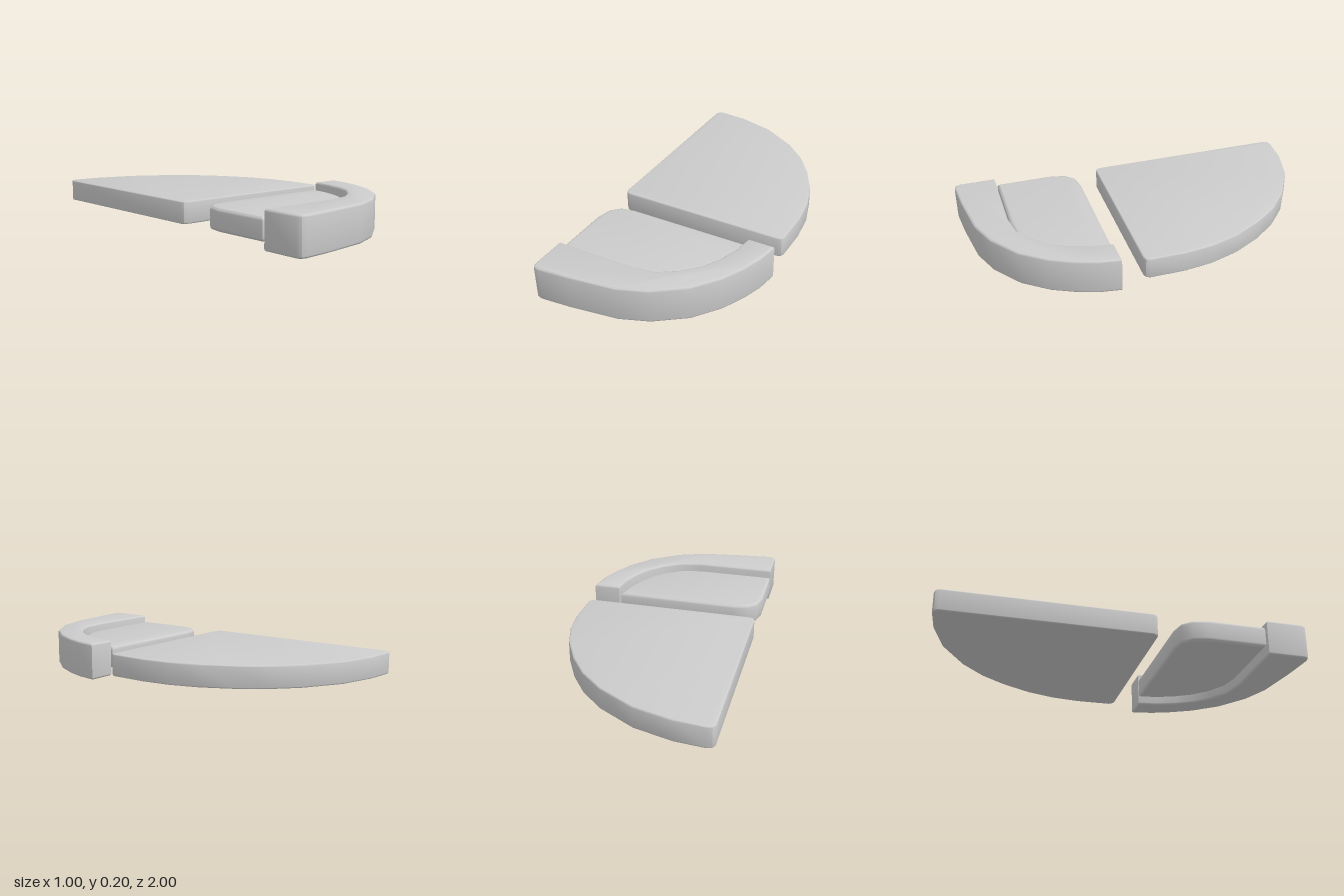
import * as THREE from 'three';
import { toCreasedNormals } from 'three/addons/utils/BufferGeometryUtils.js';

const material = new THREE.MeshStandardMaterial({ color: 0xcccccc });

// Upright slab from a plan outline of [x, z] points, with softened top and bottom edges
function slab(name, outline, bottom, top, bevel) {
  const points = outline.map(([x, z]) => new THREE.Vector2(x, -z));
  const geometry = new THREE.ExtrudeGeometry(new THREE.Shape(points), {
    depth: top - bottom - 2 * bevel,
    bevelThickness: bevel,
    bevelSize: bevel,
    bevelOffset: -bevel,
    bevelSegments: 3,
  });
  geometry.rotateX(-Math.PI / 2);
  geometry.translate(0, bottom + bevel, 0);
  const mesh = new THREE.Mesh(toCreasedNormals(geometry, 0.65), material);
  mesh.name = name;
  return mesh;
}

export function createModel() {
  const model = new THREE.Group();
  model.name = 'cornerSofaAndTable';

  // Quarter-round table top
  model.add(slab('tableTop', [
    [-0.5, 0.125], [-0.491, 0.146], [-0.47, 0.155], [0.46, 0.155], [0.482, 0.146], [0.491, 0.125],
    [0.492, -0.07], [0.472, -0.23], [0.422, -0.39], [0.338, -0.55], [0.24, -0.685], [0.11, -0.805],
    [-0.09, -0.925], [-0.3, -0.985], [-0.46, -1], [-0.488, -0.993], [-0.5, -0.97],
  ], 0.04, 0.16, 0.007));

  // Seat cushion with one rounded back corner
  model.add(slab('seatCushion', [
    [-0.5, 0.75], [-0.06, 0.75], [0.06, 0.728], [0.16, 0.665], [0.235, 0.585], [0.287, 0.49],
    [0.322, 0.39], [0.337, 0.28], [-0.35, 0.28], [-0.43, 0.295], [-0.48, 0.345], [-0.5, 0.43],
  ], 0.04, 0.16, 0.018));

  // Curved backrest wrapping the seat
  model.add(slab('backrest', [
    [-0.5, 0.763], [-0.5, 0.972], [-0.488, 0.993], [-0.46, 1], [-0.29, 0.985], [-0.035, 0.948],
    [0.12, 0.888], [0.28, 0.772], [0.385, 0.635], [0.445, 0.51], [0.482, 0.4], [0.5, 0.28],
    [0.35, 0.28], [0.335, 0.39], [0.3, 0.5], [0.247, 0.595], [0.17, 0.675], [0.07, 0.74], [-0.055, 0.763],
  ], 0, 0.2, 0.012));

  return model;
}
